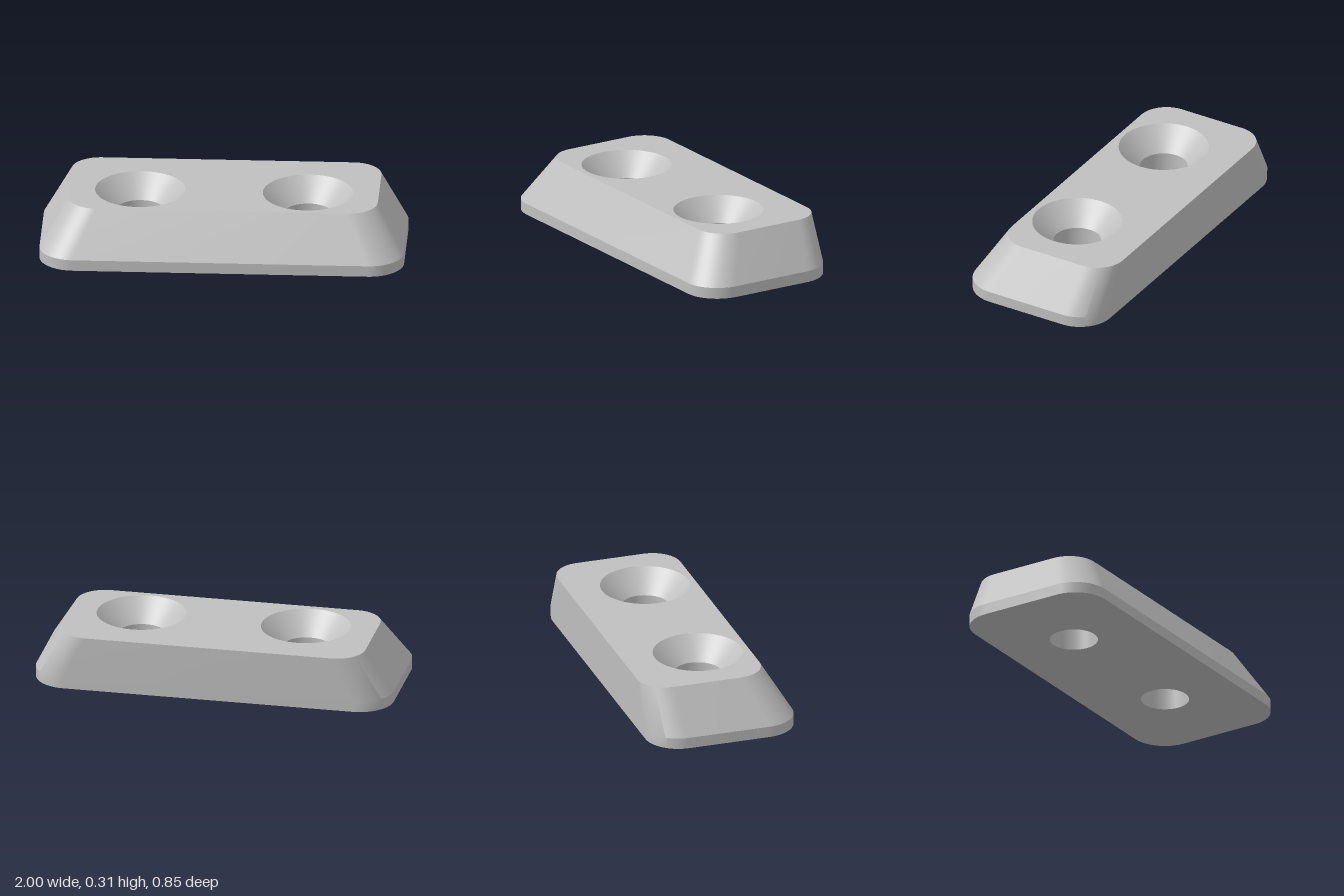
import * as THREE from 'three';
import { toCreasedNormals } from 'three/addons/utils/BufferGeometryUtils.js';

const HOLE_X = 0.46, HOLE_R = 0.132, SINK_R = 0.247, SINK_Y = 0.187, TOP_Y = 0.31;
const SEGMENTS = 64;

// Rounded rectangle seen from above, counter-clockwise, as (x, -z) points
function outline(halfX, back, front, r, steps = 16) {
  const corners = [[1, -back - r], [-1, -back - r], [-1, -front + r], [1, -front + r]];
  return corners.flatMap(([side, cv], k) =>
    Array.from({ length: steps + 1 }, (_, i) => {
      const a = (k + i / steps) * Math.PI / 2;
      return new THREE.Vector2(side * (halfX - r) + r * Math.cos(a), cv + r * Math.sin(a));
    }));
}

// Skin between stacked outlines
function loft(levels) {
  const n = levels[0].points.length, position = [], index = [];
  levels.forEach(({ y, points }) => points.forEach(p => position.push(p.x, y, -p.y)));
  for (let l = 0; l < levels.length - 1; l++) {
    for (let i = 0; i < n; i++) {
      const a = l * n + i, b = l * n + (i + 1) % n;
      index.push(a, b, b + n, a, b + n, a + n);
    }
  }
  const geometry = new THREE.BufferGeometry();
  geometry.setAttribute('position', new THREE.Float32BufferAttribute(position, 3));
  geometry.setIndex(index);
  return toCreasedNormals(geometry, 0.4);
}

// Flat face with the two screw holes cut out
function face(points, radius, y, up) {
  const shape = new THREE.Shape(points.map(p => new THREE.Vector2(p.x, up ? p.y : -p.y)));
  for (const x of [-HOLE_X, HOLE_X]) {
    const circle = Array.from({ length: SEGMENTS }, (_, i) => {
      const a = i / SEGMENTS * Math.PI * 2;
      return new THREE.Vector2(x + radius * Math.cos(a), radius * Math.sin(a));
    });
    shape.holes.push(new THREE.Path(circle));
  }
  return new THREE.ShapeGeometry(shape).rotateX(up ? -Math.PI / 2 : Math.PI / 2).translate(0, y, 0);
}

export function createModel() {
  const model = new THREE.Group();
  model.name = 'screwPlate';
  const grey = new THREE.MeshStandardMaterial({ color: 0xc0c0c0 });
  grey.name = 'light grey';
  const add = (name, geometry, x = 0) => {
    const mesh = new THREE.Mesh(geometry, grey);
    mesh.name = name;
    mesh.position.x = x;
    model.add(mesh);
  };

  // Body: short upright foot, then sides that slope in except at the back
  const foot = outline(1, -0.418, 0.427, 0.19);
  const shoulder = outline(1, -0.42, 0.427, 0.19);
  const top = outline(0.85, -0.427, 0.28, 0.16);
  add('sides', loft([
    { y: 0, points: foot }, { y: 0.062, points: shoulder }, { y: TOP_Y, points: top },
  ]));
  add('topFace', face(top, SINK_R, TOP_Y, true));
  add('bottomFace', face(foot, HOLE_R, 0, false));

  // Countersunk screw holes, profiles run downward so they face inward
  for (const [side, x] of [['left', HOLE_X], ['right', -HOLE_X]]) {
    add(side + 'Countersink', new THREE.LatheGeometry(
      [new THREE.Vector2(SINK_R, TOP_Y), new THREE.Vector2(HOLE_R, SINK_Y)], SEGMENTS), x);
    add(side + 'Bore', new THREE.LatheGeometry(
      [new THREE.Vector2(HOLE_R, SINK_Y), new THREE.Vector2(HOLE_R, 0)], SEGMENTS), x);
  }
  return model;
}
